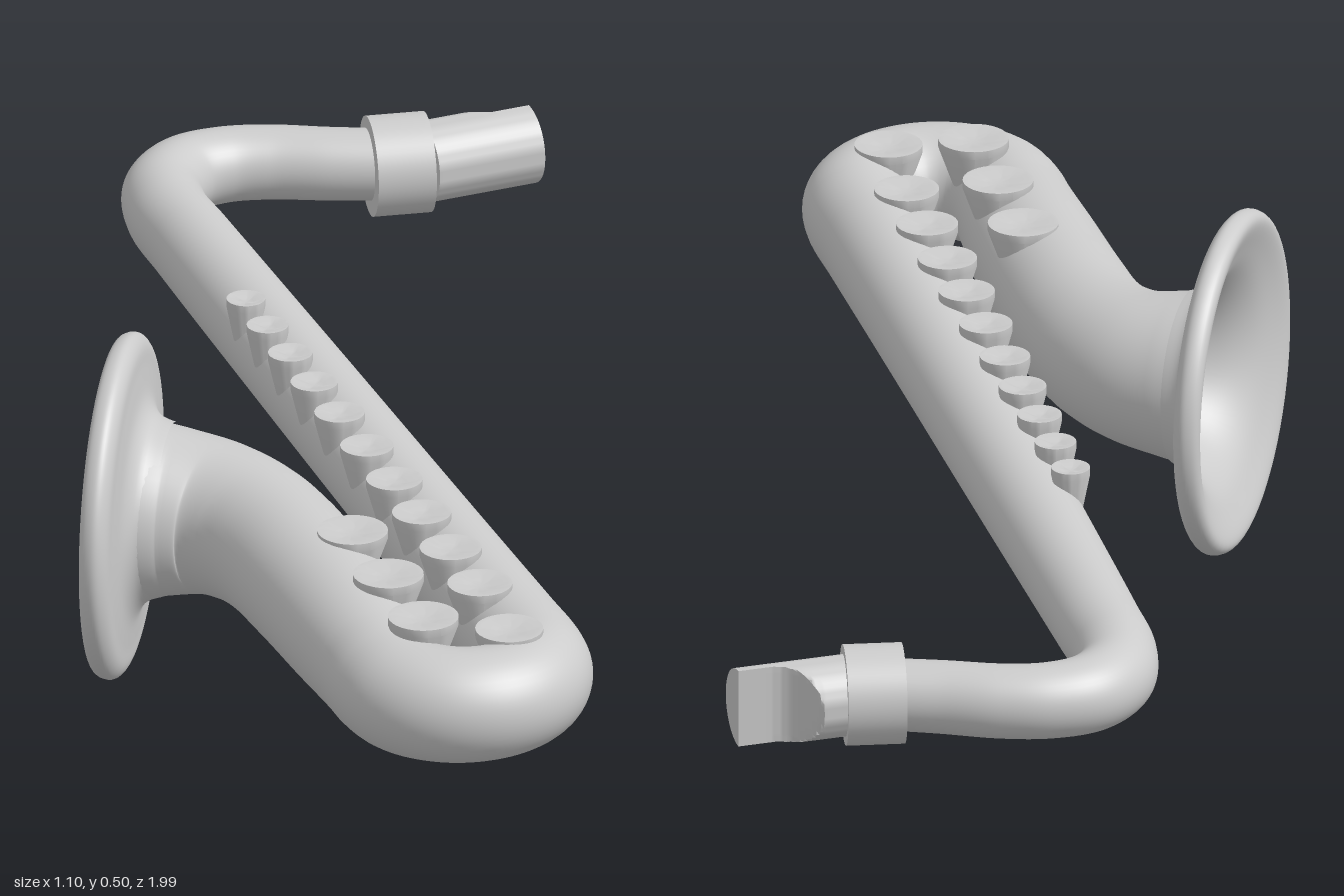
import * as THREE from 'three';
import { toCreasedNormals } from 'three/addons/utils/BufferGeometryUtils.js';

const AXIS_Y = 0.252; // height of the plane the instrument lies in
const material = new THREE.MeshStandardMaterial({ color: 0xcccccc });
const smoothCurve = (pts) => new THREE.CatmullRomCurve3(pts.map(([x, z, r]) => new THREE.Vector3(x, r, z)));

// Sweeps a circle along a flat path of [x, z, radius] points.
function taperedTube(points, rings, sides) {
  const curve = smoothCurve(points); // y of the curve carries the radius
  const positions = [], index = [];
  for (let i = 0; i <= rings; i++) {
    const p = curve.getPoint(i / rings);
    const t = curve.getTangent(i / rings).setY(0).normalize();
    for (let j = 0; j < sides; j++) {
      const a = (j / sides) * Math.PI * 2;
      const c = Math.cos(a) * p.y;
      positions.push(p.x - t.z * c, AXIS_Y + Math.sin(a) * p.y, p.z + t.x * c);
      if (i === rings) continue;
      const k = (j + 1) % sides;
      const a0 = i * sides + j, a1 = i * sides + k;
      index.push(a0, a0 + sides, a1, a0 + sides, a1 + sides, a1);
    }
  }
  const geo = new THREE.BufferGeometry();
  geo.setAttribute('position', new THREE.Float32BufferAttribute(positions, 3));
  geo.setIndex(index);
  geo.computeVertexNormals();
  return geo;
}

export function createModel() {
  const group = new THREE.Group();
  const add = (name, geo, x = 0, y = 0, z = 0) => {
    const mesh = new THREE.Mesh(geo, material);
    mesh.name = name;
    mesh.position.set(x, y, z);
    group.add(mesh);
    return mesh;
  };

  // Body: bell throat, bottom bow, long straight tube and curved neck
  const bow = [];
  for (let i = 0; i <= 8; i++) {
    const a = Math.PI * (1 - i / 8);
    bow.push([-0.14 + 0.11 * Math.cos(a), 0.8 + 0.11 * Math.sin(a), 0.086 - 0.006 * i / 8]);
  }
  add('body', taperedTube([
    [-0.39, 0.123, 0.133], [-0.345, 0.148, 0.122], [-0.3, 0.185, 0.113], [-0.268, 0.245, 0.107],
    [-0.252, 0.32, 0.103], [-0.246, 0.45, 0.1], [-0.246, 0.62, 0.095], [-0.249, 0.74, 0.088],
    ...bow,
    [-0.03, 0.7, 0.079], [-0.029, 0.4, 0.075], [-0.028, -0.2, 0.069], [-0.027, -0.7, 0.063],
    [-0.026, -0.81, 0.061], [-0.006, -0.885, 0.059], [0.042, -0.933, 0.057], [0.105, -0.945, 0.055],
    [0.17, -0.932, 0.054], [0.25, -0.898, 0.053], [0.33, -0.868, 0.052],
  ], 240, 48));

  // Bell: outer flare, rolled rim and hollow funnel
  const bellProfile = new THREE.SplineCurve([
    [0.126, -0.07], [0.136, -0.045], [0.16, -0.03], [0.2, -0.024], [0.23, -0.021], [0.246, -0.012],
    [0.251, 0], [0.245, 0.015], [0.23, 0.019], [0.2, 0.008], [0.16, -0.012], [0.125, -0.045],
    [0.09, -0.1], [0.05, -0.145], [0, -0.16],
  ].map(([r, s]) => new THREE.Vector2(r, s))).getPoints(70);
  bellProfile.forEach((p) => { p.x = Math.max(p.x, 0); });
  const bell = add('bell', new THREE.LatheGeometry(bellProfile, 64), -0.414, AXIS_Y, 0.104);
  bell.quaternion.setFromUnitVectors(new THREE.Vector3(0, 1, 0), new THREE.Vector3(-0.87, 0, -0.49).normalize());

  // Collar between neck and mouthpiece
  const collarGeo = new THREE.CylinderGeometry(0.073, 0.073, 0.085, 48).rotateZ(-Math.PI / 2);
  add('collar', collarGeo, 0.343, AXIS_Y, -0.865).rotation.y = -0.14;

  // Mouthpiece: cylinder scooped away to a half-round beak
  const length = 0.165;
  const beak = new THREE.CylinderGeometry(0.059, 0.059, length, 48, 40).rotateZ(-Math.PI / 2);
  const pos = beak.attributes.position;
  for (let i = 0; i < pos.count; i++) {
    const k = THREE.MathUtils.clamp((pos.getX(i) + length / 2 - 0.055) / 0.06, 0, 1);
    pos.setZ(i, Math.max(pos.getZ(i), -0.059 * (1 - k) ** 2));
  }
  add('mouthpiece', toCreasedNormals(beak, 0.6), 0.462, AXIS_Y, -0.866).rotation.y = 0.08;

  // Keys: tapered cups with a shallow dish on top, growing towards the bow
  const addKey = (name, x, top, z, r) => {
    const profile = [[0, -0.09], [r * 0.45, -0.09], [r, -0.012], [r, 0], [r * 0.85, 0], [r * 0.4, -0.005], [0, -0.006]];
    const geo = new THREE.LatheGeometry(profile.map(([a, b]) => new THREE.Vector2(a, b)), 32);
    add(name, toCreasedNormals(geo, 0.5), x, top, z);
  };
  [-0.33, -0.235, -0.135, -0.03, 0.08, 0.2, 0.32, 0.44, 0.567, 0.695, 0.855].forEach((z, i) =>
    addKey('tubeKey', i === 10 ? -0.085 : -0.074, 0.338, z, 0.028 + 0.0021 * i));
  [0.5, 0.657, 0.81].forEach((z) => addKey('bellKey', -0.2, 0.355, z, 0.051));

  return group;
}
